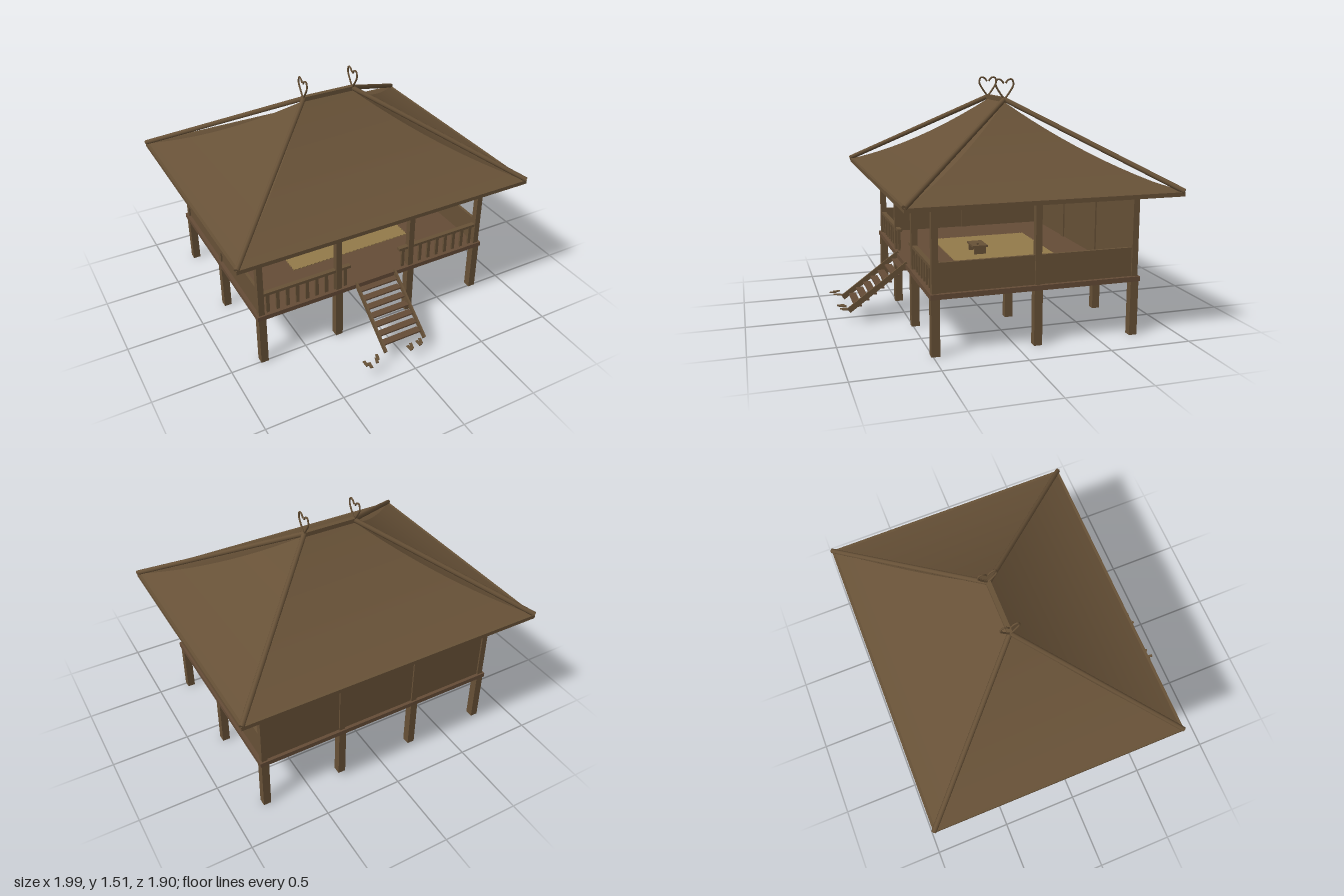
import * as THREE from 'three';

const mat = (name, color, side = THREE.FrontSide) => {
  const m = new THREE.MeshStandardMaterial({ color, side });
  m.name = name;
  return m;
};

export function createModel() {
  const model = new THREE.Group();
  const wood = mat('brown wood', 0x675137);
  const thatch = mat('roof brown', 0x675137, THREE.DoubleSide);
  const plank = mat('floor plank', 0x654c37);
  const straw = mat('straw', 0x937a4a);
  const CZ = -0.125; // centre line of the house in z

  const add = (name, geo, material, x = 0, y = 0, z = 0) => {
    const mesh = new THREE.Mesh(geo, material);
    mesh.name = name;
    mesh.position.set(x, y, z);
    model.add(mesh);
    return mesh;
  };
  const box = (name, m, w, h, d, x, y, z) => add(name, new THREE.BoxGeometry(w, h, d), m, x, y, z);
  // straight round pole between two points
  const pole = (name, a, b, r) => {
    const dir = b.clone().sub(a);
    const p = add(name, new THREE.CylinderGeometry(r, r, dir.length(), 8), wood);
    p.position.copy(a).add(b).multiplyScalar(0.5);
    p.quaternion.setFromUnitVectors(new THREE.Vector3(0, 1, 0), dir.normalize());
    return p;
  };

  // stilts, floor and wall posts
  const xs = [-0.783, -0.262, 0.262, 0.783];
  const zs = [0.485, CZ, -0.735];
  for (const x of xs) for (const z of zs) {
    box('stilt', wood, 0.048, 0.335, 0.05, x, 0.1675, z);
    if (z !== CZ || Math.abs(x) > 0.5) box('wallPost', wood, 0.038, 0.52, 0.038, x, 0.625, z);
  }
  box('floor', plank, 1.63, 0.03, 1.28, 0, 0.35, CZ);

  // full back wall and low side walls
  box('backWall', wood, 1.54, 0.52, 0.018, 0, 0.625, -0.735);
  for (const s of [-1, 1]) box('sideWall', wood, 0.018, 0.175, 1.2, s * 0.783, 0.4525, CZ);

  // front railings
  for (const s of [-1, 1]) {
    box('handRail', wood, 0.59, 0.018, 0.03, s * 0.47, 0.506, 0.485);
    for (let i = 0; i < 9; i++)
      box('baluster', wood, 0.022, 0.135, 0.014, s * (0.735 - i * 0.0655), 0.43, 0.485);
  }

  // roof: four sagging slopes lofted from eave to ridge
  const EX = 0.985, EZ = 0.815, RX = 0.17, EY = 0.888, STEPS = 12;
  const halfX = t => EX + (RX - EX) * t;
  const halfZ = t => EZ * (1 - t);
  const sag = t => EY + 0.48 * t - 0.2 * t * (1 - t);
  for (let side = 0; side < 4; side++) {
    const pos = [], idx = [];
    for (let i = 0; i <= STEPS; i++) {
      const t = i / STEPS, hx = halfX(t), hz = halfZ(t), y = sag(t);
      const c = [[-hx, hz], [hx, hz], [hx, -hz], [-hx, -hz]];
      const a = c[side], b = c[(side + 1) % 4];
      pos.push(a[0], y, a[1] + CZ, b[0], y, b[1] + CZ);
      if (i < STEPS) {
        const k = i * 2;
        idx.push(k, k + 1, k + 3, k, k + 3, k + 2);
      }
    }
    const g = new THREE.BufferGeometry();
    g.setAttribute('position', new THREE.Float32BufferAttribute(pos, 3));
    g.setIndex(idx);
    g.computeVertexNormals();
    add('roofSlope', g, thatch);
  }

  // eave boards, hip poles and ridge
  for (const s of [-1, 1]) {
    box('eaveBoard', wood, 2 * EX, 0.025, 0.025, 0, 0.882, CZ + s * (EZ - 0.0125));
    box('eaveBoard', wood, 0.025, 0.025, 2 * EZ - 0.05, s * (EX - 0.0125), 0.882, CZ);
    for (const q of [-1, 1])
      pole('hipPole', new THREE.Vector3(s * (EX - 0.003), 0.898, CZ + q * (EZ - 0.003)),
        new THREE.Vector3(s * RX, 1.384, CZ), 0.016);
  }
  box('ridgeBeam', wood, 0.36, 0.028, 0.03, 0, 1.382, CZ);

  // curled horns at both ridge ends
  const horn = [[0, 1.385], [0.034, 1.43], [0.058, 1.475], [0.048, 1.508], [0.024, 1.505], [0.006, 1.484]];
  for (const x of [-0.174, 0.174]) for (const s of [-1, 1]) {
    const curve = new THREE.CatmullRomCurve3(horn.map(([z, y]) => new THREE.Vector3(x, y, CZ + s * z)));
    add('ridgeHorn', new THREE.TubeGeometry(curve, 24, 0.006, 6), wood);
  }

  // stairs
  const top = new THREE.Vector2(0.51, 0.36), foot = new THREE.Vector2(0.87, 0.098);
  const run = foot.clone().sub(top);
  for (const s of [-1, 1]) {
    const b = box('stairStringer', wood, 0.012, 0.034, run.length() + 0.02, s * 0.14,
      (top.y + foot.y) / 2, (top.x + foot.x) / 2);
    b.rotation.x = -Math.atan2(run.y, run.x);
  }
  for (let i = 0; i < 7; i++) {
    const y = 0.115 + i * 0.035;
    box('stairTread', plank, 0.27, 0.01, 0.046, 0, y, top.x + (top.y - y) * 1.374 - 0.03);
  }

  // sandals by the foot of the stairs: x, z, turn
  const sandals = [[-0.295, 0.9, 0], [-0.277, 0.925, -0.15], [-0.222, 0.907, -0.35], [-0.205, 0.885, -0.3],
    [0.01, 0.91, 0.1], [0.031, 0.9, -0.3], [0.083, 0.9, 0], [0.104, 0.89, -0.25]];
  for (const [x, z, turn] of sandals)
    box('sandal', wood, 0.018, 0.006, 0.045, x, 0.09, z).rotation.y = turn;

  // woven mat with a fringed edge
  const MX = 0.43, MZ = 0.34, mat2d = new THREE.Shape();
  const corners = [[-MX, -MZ], [MX, -MZ], [MX, MZ], [-MX, MZ]];
  mat2d.moveTo(-MX, -MZ);
  corners.forEach(([ax, ay], k) => {
    const [bx, by] = corners[(k + 1) % 4];
    for (let i = 1; i <= 60; i++) {
      const t = i / 60, inset = i % 2 ? 0.98 : 1;
      mat2d.lineTo((ax + (bx - ax) * t) * inset, (ay + (by - ay) * t) * inset);
    }
  });
  const matGeo = new THREE.ExtrudeGeometry(mat2d, { depth: 0.005, bevelEnabled: false });
  matGeo.rotateX(-Math.PI / 2);
  add('floorMat', matGeo, straw, 0, 0.365, -0.135);

  // low table with a cup
  box('tableTop', wood, 0.145, 0.012, 0.1, 0, 0.422, 0);
  for (const x of [-0.06, 0.06]) box('tableLeg', wood, 0.012, 0.05, 0.08, x, 0.392, 0);
  add('cup', new THREE.CylinderGeometry(0.008, 0.006, 0.012, 10), wood, 0.04, 0.434, 0.01);

  // hanging lantern on a cord
  add('lanternCord', new THREE.CylinderGeometry(0.0018, 0.0018, 0.52, 6), wood, 0, 1.05, -0.195);
  const bell = [[0, 0], [0.016, 0], [0.016, 0.028], [0.011, 0.04], [0, 0.046]];
  add('lantern', new THREE.LatheGeometry(bell.map(([r, y]) => new THREE.Vector2(r, y)), 12),
    straw, 0, 0.75, -0.195);

  return model;
}
